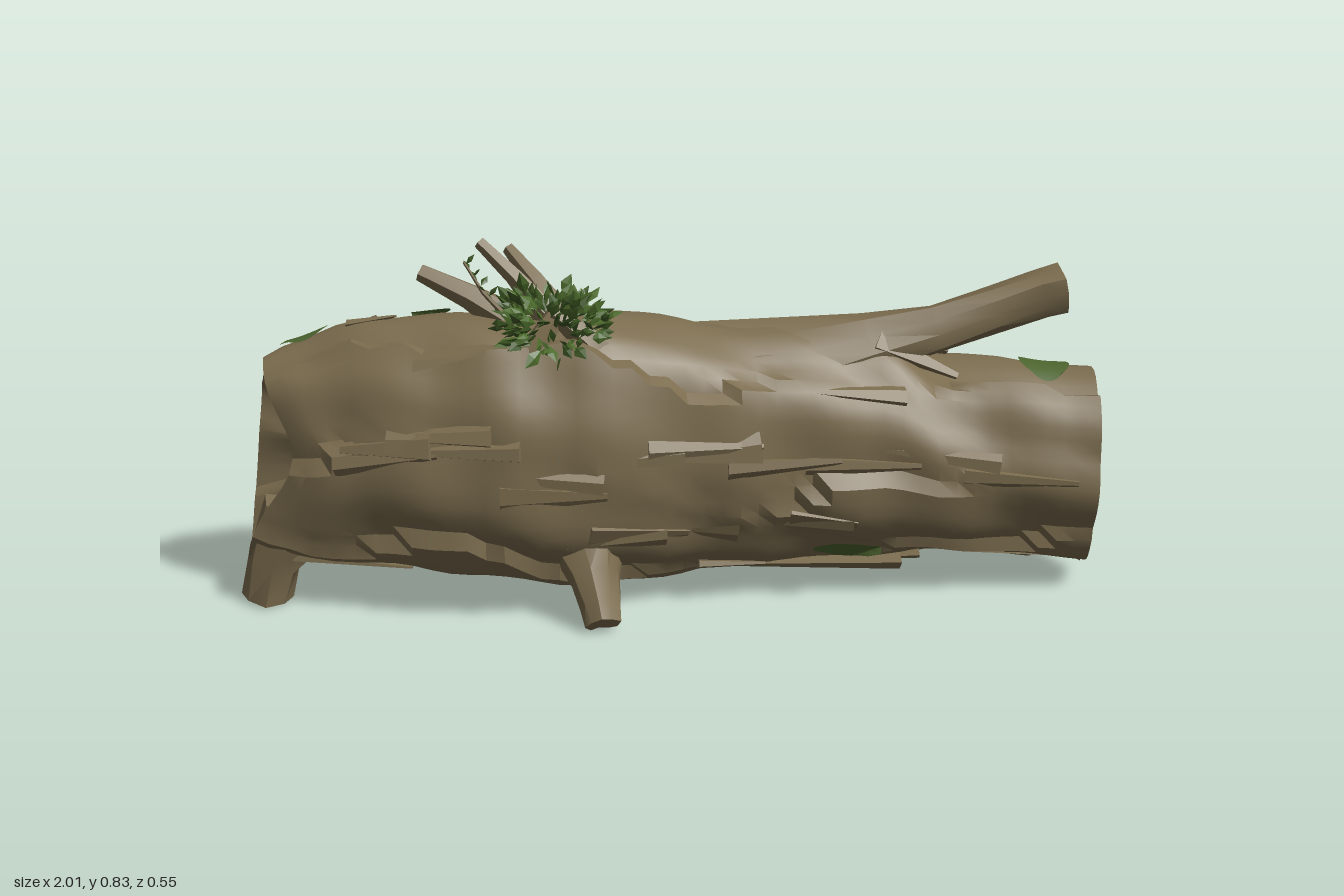
import * as THREE from 'three';
import { mergeGeometries, toCreasedNormals } from 'three/addons/utils/BufferGeometryUtils.js';

const V = (x, y, z) => new THREE.Vector3(x, y, z);
const clamp01 = (v) => Math.min(1, Math.max(0, v));
const TAU = Math.PI * 2;

let seed = 11;
const rnd = (a = 0, b = 1) => {
  seed = (seed * 16807) % 2147483647;
  return a + (b - a) * (seed / 2147483647);
};

// Trunk sections: x, bottom, top, back z, front z
const SECTIONS = [
  [-0.93, 0.1, 0.56, -0.13, 0.05], [-0.88, 0.08, 0.59, -0.19, 0.08],
  [-0.75, 0.075, 0.63, -0.22, 0.125], [-0.6, 0.075, 0.655, -0.245, 0.18],
  [-0.4, 0.06, 0.665, -0.255, 0.235], [-0.2, 0.05, 0.68, -0.255, 0.24],
  [-0.1, 0.05, 0.67, -0.25, 0.21], [0.05, 0.05, 0.635, -0.25, 0.175],
  [0.25, 0.05, 0.62, -0.25, 0.155], [0.47, 0.05, 0.605, -0.25, 0.15],
  [0.58, 0.07, 0.53, -0.23, 0.165], [0.7, 0.07, 0.52, -0.22, 0.17],
  [0.95, 0.045, 0.51, -0.22, 0.215],
];

function sectionAt(x) {
  let i = 0;
  while (i < SECTIONS.length - 2 && x > SECTIONS[i + 1][0]) i++;
  const a = SECTIONS[i], b = SECTIONS[i + 1];
  const k = clamp01((x - a[0]) / (b[0] - a[0]));
  return a.map((v, n) => v + (b[n] - v) * k);
}

// Both broken ends are cut at a slant; the low end has a bite out of its front
function slant(p) {
  const left = clamp01((-0.7 - p.x) / 0.2), right = clamp01((p.x - 0.6) / 0.3);
  const bite = 0.09 * Math.exp(-(((p.y - 0.36) / 0.13) ** 2)) * clamp01((p.z + 0.1) / 0.12);
  p.x += left * (bite - 0.12 * (0.56 - p.y)) + right * (0.02 - 0.14 * p.z);
  return p;
}

// Point on the bark; t = 0 is the front, PI/2 the top
function bark(x, t, lift = 0) {
  const [, y0, y1, z0, z1] = sectionAt(x), s = Math.sin(t);
  const f = (7 * t) / TAU + 0.3 * Math.sin(4 * x + 1) + 0.12 * Math.sin(13 * x + 2 * t);
  const ledge = (f - Math.floor(f)) * 0.03 * (0.55 + 0.45 * Math.sin(5 * x + 3 * t));
  const r = ledge - 0.01 + 0.009 * Math.sin(17 * x + 5 * t) * Math.sin(9 * x - 3 * t) + lift;
  const egg = 1 - 0.42 * clamp01((x - 0.55) / 0.35) * Math.max(0, -s);
  const pow = (v) => Math.sign(v) * Math.abs(v) ** 0.92;
  return slant(V(x,
    (y0 + y1) / 2 + ((y1 - y0) / 2 + r) * pow(s),
    (z0 + z1) / 2 + ((z1 - z0) / 2 + r) * egg * pow(Math.cos(t))));
}

// Skin a list of equal rings, closing both ends with fans
function loft(rings, crease = 0.5) {
  const n = rings[0].length, pos = [], idx = [];
  rings.forEach((ring) => ring.forEach((p) => pos.push(p.x, p.y, p.z)));
  for (let i = 0; i < rings.length - 1; i++) {
    for (let j = 0; j < n; j++) {
      const a = i * n + j, b = i * n + ((j + 1) % n);
      idx.push(a, a + n, b, b, a + n, b + n);
    }
  }
  [0, rings.length - 1].forEach((r, end) => {
    const c = rings[r].reduce((s, p) => s.add(p), V(0, 0, 0)).divideScalar(n);
    const ci = pos.length / 3;
    pos.push(c.x, c.y, c.z);
    for (let j = 0; j < n; j++) {
      const a = r * n + j, b = r * n + ((j + 1) % n);
      if (end) idx.push(a, ci, b); else idx.push(b, ci, a);
    }
  });
  const g = new THREE.BufferGeometry();
  g.setAttribute('position', new THREE.Float32BufferAttribute(pos, 3));
  g.setIndex(idx);
  return toCreasedNormals(g, crease);
}

function trunkGeometry() {
  const N = 52, STEPS = 46, rings = [];
  const ring = (fn) => rings.push(Array.from({ length: N }, (_, j) => fn((j / N) * TAU)));
  // Shallow broken hollow at the low end
  [[0.3, 0.12], [0.7, 0.08]].forEach(([s, d]) => ring((t) => {
    const p = bark(-0.93, t);
    p.lerp(V(-0.93, 0.35, -0.04), 1 - s);
    p.x += d + 0.012 * Math.sin(6 * t);
    return p;
  }));
  for (let i = 0; i <= STEPS; i++) ring((t) => bark(-0.93 + (1.88 * i) / STEPS, t));
  // Hollow at the open end, chamfered low and to the back: x, centre y, centre z, half height, half width
  [[0.94, 0.285, -0.035, 0.165, 0.15], [0.86, 0.305, -0.005, 0.135, 0.115], [0.72, 0.31, 0.015, 0.115, 0.085],
    [0.58, 0.33, 0.03, 0.08, 0.06], [0.46, 0.34, 0.035, 0.035, 0.03]]
    .forEach(([x, y, z, h, w]) => ring((t) => {
      const s = Math.sin(t), k = 1 + 0.05 * Math.sin(3 * t + 1) + 0.05 * Math.sin(5 * t + x * 9);
      return slant(V(x, y + h * k * s, z + w * k * (1 - 0.35 * Math.max(0, -s)) * Math.cos(t)));
    }));
  return loft(rings);
}

// Rough tapering limb through [x, y, z, radius] points, never below the ground
function limb(points, sides = 9) {
  const ps = points.map((p) => V(p[0], p[1], p[2]));
  return loft(ps.map((p, i) => {
    const T = ps[Math.min(i + 1, ps.length - 1)].clone().sub(ps[Math.max(i - 1, 0)]).normalize();
    const u = (Math.abs(T.z) > 0.8 ? V(1, 0, 0) : V(0, 0, 1)).cross(T).cross(T).negate().normalize();
    const v = u.clone().cross(T);
    return Array.from({ length: sides }, (_, j) => {
      const t = (j / sides) * TAU, r = points[i][3] * (1 + 0.1 * Math.sin(j * 2.4 + i));
      const q = p.clone().addScaledVector(u, r * Math.cos(t)).addScaledVector(v, r * Math.sin(t));
      q.y = Math.max(0, q.y);
      return q;
    });
  }), 0.6);
}

// Wedge of loose bark lying along the trunk, lifted at the end toward the opening
function splinter(x, t, len, wide, thick) {
  const a = bark(x, t, -0.004), b = bark(Math.min(x + len, 0.93), t + rnd(-0.08, 0.08), thick * 0.5);
  const out = V(0, a.y - 0.34, a.z + 0.02).normalize();
  const dir = b.clone().sub(a), X = dir.clone().normalize();
  const Z = X.clone().cross(out).normalize(), Y = Z.clone().cross(X);
  const g = new THREE.CylinderGeometry(0.3, 1, 1, 5, 1).rotateZ(-Math.PI / 2);
  if (rnd() < 0.5) g.rotateY(Math.PI);
  g.scale(dir.length(), thick, wide);
  g.applyMatrix4(new THREE.Matrix4().makeBasis(X, Y, Z).setPosition(a.add(b).multiplyScalar(0.5)));
  return toCreasedNormals(g, 0.3);
}

// Thin moss patch following the bark
function mossPatch(x, t, dx, dt) {
  const g = new THREE.PlaneGeometry(2, 2, 8, 8), p = g.attributes.position;
  for (let i = 0; i < p.count; i++) {
    const u = p.getX(i), v = p.getY(i);
    const q = bark(x + u * Math.sqrt(1 - (v * v) / 1.6) * dx, t + v * Math.sqrt(1 - (u * u) / 1.6) * dt, 0.008);
    p.setXYZ(i, q.x, q.y, q.z);
  }
  g.computeVertexNormals();
  return g;
}

// Pointed leaf growing from p along dir
function leaf(p, dir, len) {
  const g = new THREE.OctahedronGeometry(1).scale(len * 0.27, len / 2, len * 0.09).translate(0, len / 2, 0);
  g.rotateY(rnd(0, TAU));
  g.applyQuaternion(new THREE.Quaternion().setFromUnitVectors(V(0, 1, 0), dir));
  return g.translate(p.x, p.y, p.z);
}

export function createModel() {
  const group = new THREE.Group();
  const mat = (name, color, extra = {}) => {
    const m = new THREE.MeshStandardMaterial({ color, ...extra });
    m.name = name;
    return m;
  };
  const wood = mat('bark brown', 0x7b6c4e);
  const leafGreen = mat('leaf green', 0x4c6b2b);
  const darkLeaf = mat('dark leaf green', 0x3c5623);
  const moss = mat('moss green', 0x4d652f, { side: THREE.DoubleSide });
  const add = (name, geometry, material = wood) => {
    const m = new THREE.Mesh(geometry, material);
    m.name = name;
    group.add(m);
  };

  add('trunk', trunkGeometry());
  add('upperBranch', limb([[0.02, 0.49, -0.04, 0.13], [0.28, 0.525, -0.035, 0.105], [0.45, 0.572, -0.025, 0.075],
    [0.6, 0.612, -0.01, 0.058], [0.73, 0.655, -0.005, 0.054], [0.84, 0.692, -0.005, 0.054], [0.89, 0.702, -0.005, 0.056]], 11));

  // Root stubs the log rests on
  add('endFoot', limb([[-0.86, 0.2, -0.04, 0.1], [-0.925, 0.09, -0.03, 0.062], [-0.945, 0, -0.025, 0.058]], 7));
  add('frontFoot', limb([[-0.22, 0.17, 0.1, 0.1], [-0.2, 0.1, 0.165, 0.06], [-0.19, 0.045, 0.215, 0.045], [-0.185, 0.015, 0.245, 0.038]]));
  add('backFoot', limb([[-0.2, 0.15, -0.08, 0.11], [-0.2, 0.07, -0.16, 0.075], [-0.2, 0.035, -0.215, 0.052], [-0.2, 0.022, -0.262, 0.036]]));

  // Broken twigs on top, and stems under the tuft
  [[[-0.26, 0.64, 0.02, 0.04], [-0.36, 0.75, -0.03, 0.022], [-0.435, 0.82, -0.07, 0.016]],
    [[-0.24, 0.64, 0.03, 0.04], [-0.31, 0.73, -0.05, 0.026], [-0.37, 0.795, -0.115, 0.016]],
    [[-0.32, 0.62, -0.02, 0.05], [-0.46, 0.7, -0.06, 0.032], [-0.57, 0.75, -0.09, 0.022]],
    [[-0.16, 0.57, 0.1, 0.05], [-0.21, 0.64, 0.11, 0.035], [-0.28, 0.7, 0.11, 0.02]],
    [[-0.34, 0.57, 0.13, 0.04], [-0.31, 0.64, 0.12, 0.03], [-0.27, 0.7, 0.1, 0.02]],
    [[-0.36, 0.66, 0.07, 0.008], [-0.43, 0.74, 0.08, 0.005], [-0.47, 0.81, 0.085, 0.003]]]
    .forEach((p) => add('brokenTwig', limb(p, 6)));

  // Loose bark: mostly on the back and underside, with a long lip on the front
  const bits = [];
  for (let i = 0; i < 64; i++) {
    const back = i < 42;
    bits.push(splinter(rnd(back ? -0.6 : -0.85, 0.72), back ? rnd(2.3, 4.5) : rnd(-1.5, 2.2),
      rnd(0.1, 0.24), rnd(0.02, 0.045), rnd(0.008, back ? 0.022 : 0.014)));
  }
  for (let i = 0; i < 9; i++) bits.push(splinter(-0.8 + i * 0.18, 0.06 + 0.08 * Math.sin(i * 2), 0.26, 0.025, 0.014));
  bits.push(splinter(0.1, -1.25, 0.42, 0.05, 0.022), splinter(0.3, 2.4, 0.16, 0.05, 0.03),
    splinter(0.42, 1.9, 0.22, 0.06, 0.03), splinter(0.46, 1.3, 0.18, 0.05, 0.03), splinter(0.2, 3.5, 0.25, 0.03, 0.04));
  add('barkSplinters', mergeGeometries(bits));

  // Leafy tuft
  const light = [], dark = [], core = V(-0.28, 0.665, 0.1);
  for (let i = 0; i < 240; i++) {
    const d = V(rnd(-1, 1), rnd(-0.6, 1), rnd(-0.9, 1)).normalize();
    const s = rnd(0.45, 0.85);
    const p = core.clone().add(V(d.x * 0.135, d.y * 0.095, d.z * 0.1).multiplyScalar(s));
    d.add(V(rnd(-0.6, 0.6), rnd(-0.2, 0.5), rnd(-0.6, 0.6))).normalize();
    (i % 3 ? light : dark).push(leaf(p, d, rnd(0.035, 0.06)));
  }
  // Small sprig beside the twigs
  for (let i = 0; i < 8; i++) {
    dark.push(leaf(V(-0.41 - i * 0.008, 0.72 + i * 0.012, 0.08), V(i % 2 ? 0.7 : -0.6, 0.8, i % 3 - 1).normalize(), 0.03));
  }
  add('tuftLeaves', mergeGeometries(light), leafGreen);
  add('tuftShadeLeaves', mergeGeometries(dark), darkLeaf);

  // Moss patches
  [[0.39, -0.86, 0.08, 0.12], [0.84, 1.55, 0.055, 0.32], [-0.84, 1.75, 0.055, 0.2], [-0.55, 1.95, 0.045, 0.2]]
    .forEach((a) => add('mossPatch', mossPatch(...a), moss));

  return group;
}
